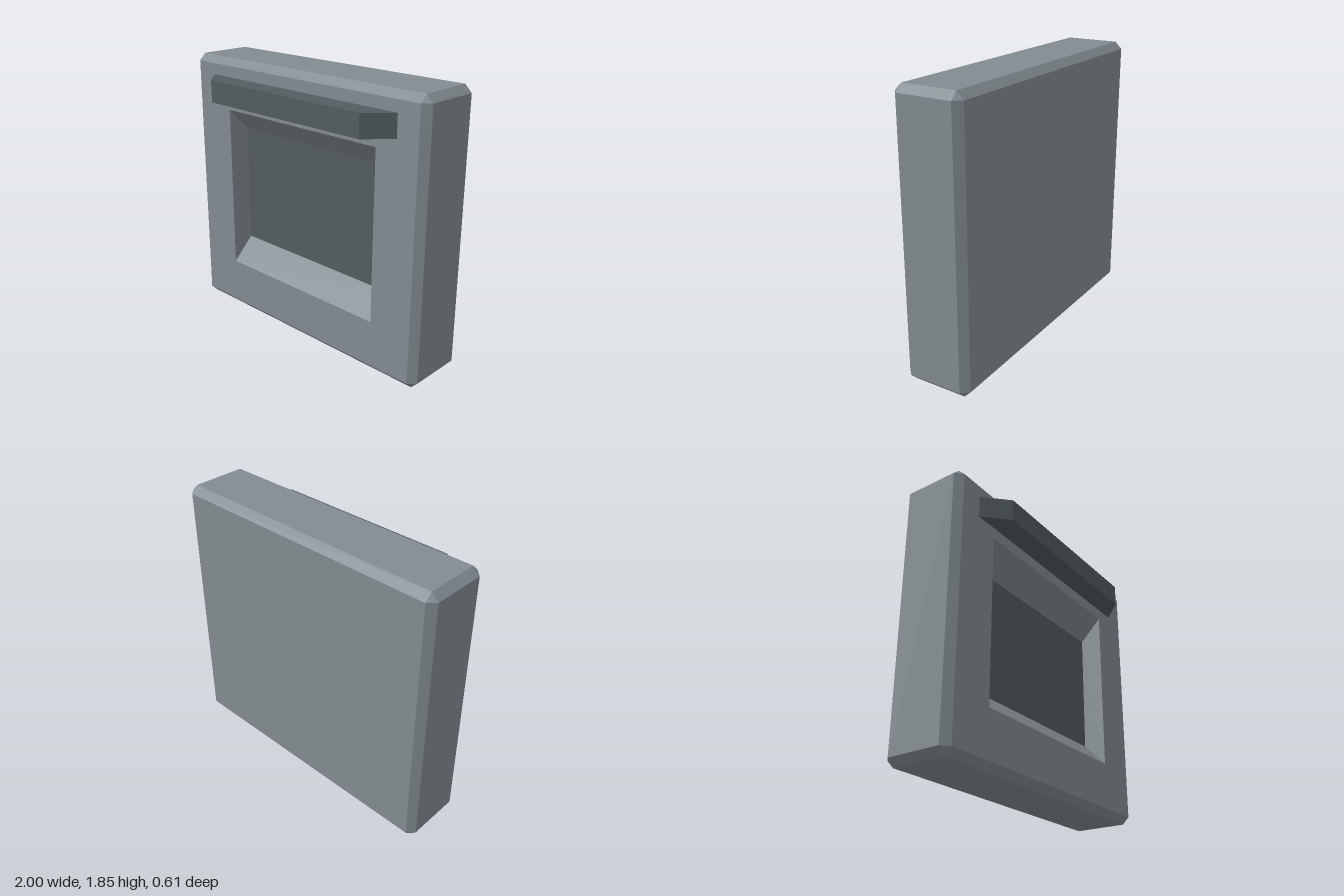
import * as THREE from 'three';
import { ConvexGeometry } from 'three/addons/geometries/ConvexGeometry.js';

const FRONT = 0.155, BACK = -0.305, HEIGHT = 1.85, CHAMFER = 0.047;
const RECESS_Z = 0;

const steel = new THREE.MeshStandardMaterial({ color: 0x828c91 });
steel.name = 'steelGrey';
const dark = new THREE.MeshStandardMaterial({ color: 0x535c5f });
dark.name = 'darkGrey';

function mesh(name, geometry, material) {
  const m = new THREE.Mesh(geometry, material);
  m.name = name;
  return m;
}

// Flat quads, corners counter-clockwise as seen from outside
function quads(list) {
  const pos = [];
  for (const [a, b, c, d] of list) pos.push(...a, ...b, ...c, ...a, ...c, ...d);
  const g = new THREE.BufferGeometry();
  g.setAttribute('position', new THREE.Float32BufferAttribute(pos, 3));
  g.computeVertexNormals();
  return g;
}

// Chamfered box with its front face left open
function shellGeometry() {
  const half = [1, HEIGHT / 2, (FRONT - BACK) / 2];
  const points = [];
  for (const sx of [-1, 1]) for (const sy of [-1, 1]) for (const sz of [-1, 1]) {
    for (let axis = 0; axis < 3; axis++) {
      const p = half.map((h, i) => (i === axis ? h : h - CHAMFER));
      points.push(new THREE.Vector3(p[0] * sx, p[1] * sy, p[2] * sz));
    }
  }
  const hull = new ConvexGeometry(points);
  const p = hull.attributes.position, kept = [];
  for (let i = 0; i < p.count; i += 3) {
    const isFront = [0, 1, 2].every((k) => p.getZ(i + k) > half[2] - 1e-4);
    if (!isFront) for (let k = 0; k < 3; k++) kept.push(p.getX(i + k), p.getY(i + k), p.getZ(i + k));
  }
  const g = new THREE.BufferGeometry();
  g.setAttribute('position', new THREE.Float32BufferAttribute(kept, 3));
  g.computeVertexNormals();
  return g.translate(0, HEIGHT / 2, (FRONT + BACK) / 2);
}

const rect = (x, y0, y1) => [[-x, y0], [x, y0], [x, y1], [-x, y1]];
const toVectors = (pts) => pts.map(([x, y]) => new THREE.Vector2(x, y));

export function createModel() {
  const group = new THREE.Group();
  group.name = 'wallPanel';

  group.add(mesh('bodyShell', shellGeometry(), steel));

  // Front face with the recess opening
  const opening = rect(0.65, 0.36, 1.5);
  const face = new THREE.Shape(toVectors(rect(1 - CHAMFER, CHAMFER, HEIGHT - CHAMFER)));
  face.holes.push(new THREE.Path(toVectors(opening)));
  group.add(mesh('frontFace', new THREE.ShapeGeometry(face).translate(0, 0, FRONT), steel));

  // Recess: sloped sill and top, straight sides, dark back panel
  const outer = opening.map(([x, y]) => [x, y, FRONT]);
  const inner = rect(0.65, 0.515, 1.345).map(([x, y]) => [x, y, RECESS_Z]);
  const walls = outer.map((p, i) => {
    const j = (i + 1) % 4;
    return [p, outer[j], inner[j], inner[i]];
  });
  group.add(mesh('recessWalls', quads(walls), steel));
  group.add(mesh('recessBack', quads([inner]), dark));

  // Handle bar with angled ends
  const bar = new THREE.Shape(toVectors([
    [-0.8, -FRONT], [-0.65, -0.305], [0.65, -0.305], [0.8, -FRONT],
  ]));
  const handle = new THREE.ExtrudeGeometry(bar, { depth: 0.15, bevelEnabled: false });
  handle.rotateX(-Math.PI / 2).translate(0, 1.577, 0);
  group.add(mesh('handle', handle, dark));

  return group;
}
